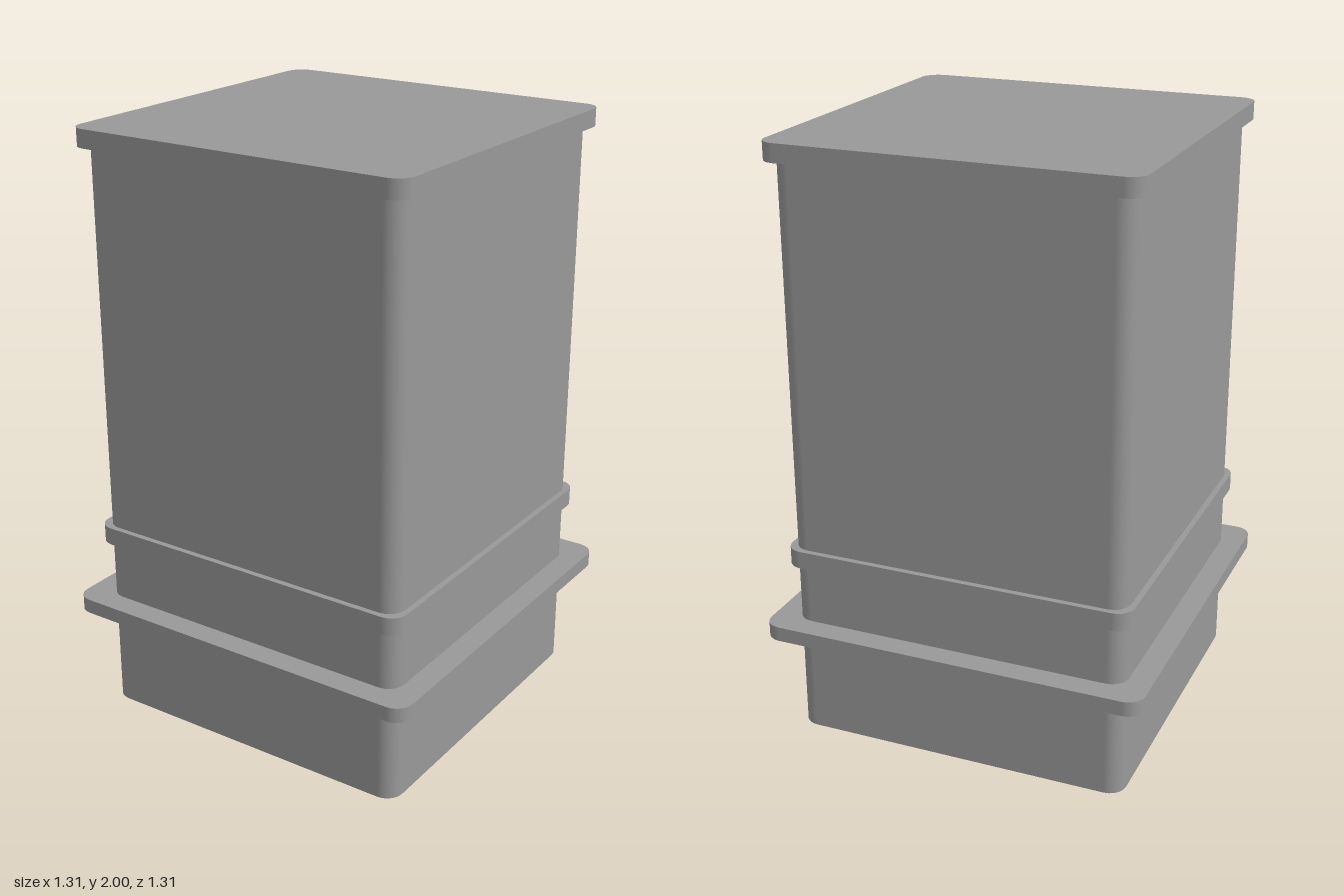
import * as THREE from 'three';
import { mergeGeometries } from 'three/addons/utils/BufferGeometryUtils.js';

const RADIUS = 0.057, STEPS = 5;

// Rounded-square outline: points [x, z] with their outward normals
function outline(half) {
  const pts = [], c = half - RADIUS;
  for (let q = 0; q < 4; q++) {
    const mid = (q + 0.5) * Math.PI / 2;
    const cx = Math.sign(Math.cos(mid)) * c, cz = Math.sign(Math.sin(mid)) * c;
    for (let i = 0; i <= STEPS; i++) {
      const a = (q + i / STEPS) * Math.PI / 2, nx = Math.cos(a), nz = Math.sin(a);
      pts.push({ x: cx + nx * RADIUS, z: cz + nz * RADIUS, nx, nz });
    }
  }
  return pts;
}

// Upright band of thin wall, smooth round the corners
function wall(half, y0, y1) {
  const pts = outline(half), pos = [], nor = [], uv = [], idx = [];
  pts.forEach((p, i) => {
    pos.push(p.x, y0, p.z, p.x, y1, p.z);
    nor.push(p.nx, 0, p.nz, p.nx, 0, p.nz);
    uv.push(i / pts.length, 0, i / pts.length, 1);
    const a = 2 * i, b = 2 * ((i + 1) % pts.length);
    idx.push(a, a + 1, b, b, a + 1, b + 1);
  });
  const g = new THREE.BufferGeometry();
  g.setAttribute('position', new THREE.Float32BufferAttribute(pos, 3));
  g.setAttribute('normal', new THREE.Float32BufferAttribute(nor, 3));
  g.setAttribute('uv', new THREE.Float32BufferAttribute(uv, 2));
  g.setIndex(idx);
  return g;
}

// Flat level face, with a hole when an inner size is given
function ledge(y, outer, inner, up) {
  const path = h => outline(h).map(p => new THREE.Vector2(p.x, p.z));
  const shape = new THREE.Shape(path(outer));
  if (inner) shape.holes.push(new THREE.Path(path(inner)));
  return new THREE.ShapeGeometry(shape).rotateX(up ? -Math.PI / 2 : Math.PI / 2).translate(0, y, 0);
}

export function createModel() {
  const group = new THREE.Group();
  const grey = new THREE.MeshStandardMaterial({ color: 0x999999, side: THREE.DoubleSide });
  grey.name = 'grey';
  const add = (name, parts) => {
    const mesh = new THREE.Mesh(mergeGeometries(parts), grey);
    mesh.name = name;
    group.add(mesh);
  };

  const body = 0.573;

  // Hollow shaft, open below and interrupted by the hollow bands
  add('lowerShaft', [wall(body, 0, 0.35)]);
  add('middleShaft', [wall(body, 0.4, 0.6)]);
  add('upperShaft', [wall(body, 0.66, 1.94)]);

  // Bands folded outwards from the shaft wall
  const bands = [['flange', 0.653, 0.35, 0.4], ['collar', 0.592, 0.6, 0.66]];
  for (const [name, half, y0, y1] of bands) {
    add(name, [wall(half, y0, y1), ledge(y0, half, body, false), ledge(y1, half, body, true)]);
  }

  // Lid with a closed top
  add('lid', [wall(0.602, 1.94, 2), ledge(1.94, 0.602, body, false), ledge(2, 0.602, 0, true)]);

  return group;
}
